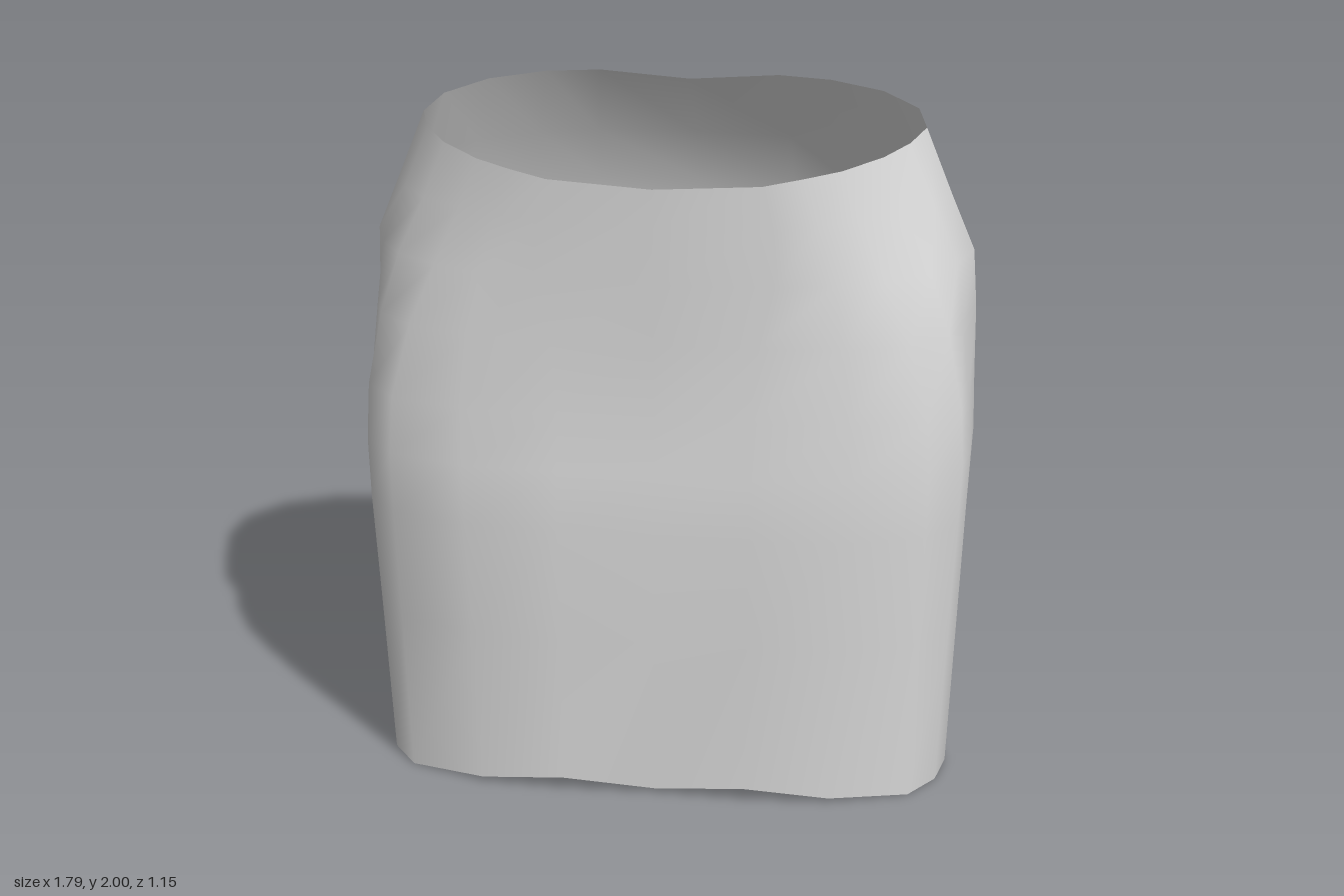
import * as THREE from 'three';

// Half cross-sections from centre back round the +x side to centre front:
// x is a share of the half width, z a share of the depth behind or before the side line.
const hemShape = [[0, -1], [0.27, -0.966], [0.5, -0.85], [0.7, -0.64], [0.865, -0.37], [0.96, -0.085],
  [1, 0.31], [0.97, 0.56], [0.88, 0.77], [0.61, 0.94], [0.316, 1], [0, 0.95]];
const hipShape = [[0, -1], [0.25, -0.985], [0.62, -0.89], [0.855, -0.69], [0.967, -0.335], [1, 0],
  [0.97, 0.4], [0.955, 0.65], [0.85, 0.86], [0.615, 0.985], [0.3, 1], [0, 0.99]];
const waistShape = [[0, -1], [0.37, -0.95], [0.59, -0.86], [0.81, -0.68], [0.96, -0.37], [1, 0],
  [0.945, 0.3], [0.85, 0.53], [0.7, 0.72], [0.56, 0.85], [0.41, 0.93], [0, 1]];

// Heights along the wavy lower hem and the sloping waist edge
const hemY = [0.095, 0.095, 0.09, 0.08, 0.055, 0.03, 0.005, 0.003, 0, 0.015, 0.045, 0.015];
const waistY = [1.975, 2, 2, 1.99, 1.975, 1.96, 1.95, 1.935, 1.915, 1.905, 1.89, 1.88];

// Rings: height, half width, back z, front z, side line z, blend (-1 hem, 0 hip, 1 waist)
const rings = [
  [hemY, 0.855, -0.49, 0.58, 0.1, -1],
  [0.5, 0.882, -0.51, 0.58, 0.09, -0.7],
  [0.85, 0.902, -0.49, 0.58, 0.09, -0.45],
  [1.03, 0.91, -0.532, 0.568, 0.08, -0.35],
  [1.2, 0.902, -0.575, 0.55, 0.08, -0.25],
  [1.42, 0.89, -0.572, 0.55, 0.08, 0.3],
  [1.6, 0.878, -0.51, 0.557, 0.11, 0.8],
  [1.77, 0.807, -0.445, 0.562, 0.12, 1],
  [waistY, 0.73, -0.29, 0.565, 0.12, 1],
];

function ringPoints([y, width, back, front, side, blend]) {
  const target = blend < 0 ? hemShape : waistShape;
  const half = hipShape.map(([hx, hz], i) => {
    const x = THREE.MathUtils.lerp(hx, target[i][0], Math.abs(blend));
    const z = THREE.MathUtils.lerp(hz, target[i][1], Math.abs(blend));
    return [x * width, Array.isArray(y) ? y[i] : y, side + z * (z < 0 ? side - back : front - side)];
  });
  const mirrored = half.slice(1, -1).reverse().map(([x, h, z]) => [-x, h, z]);
  return [...half, ...mirrored];
}

// Join the rings into an open tube with smooth shared normals
function loft(loops) {
  const n = loops[0].length;
  const index = [];
  for (let j = 0; j < loops.length - 1; j++) {
    for (let i = 0; i < n; i++) {
      const a = j * n + i, b = j * n + (i + 1) % n;
      index.push(a, a + n, b, b, a + n, b + n);
    }
  }
  const geometry = new THREE.BufferGeometry();
  geometry.setAttribute('position', new THREE.Float32BufferAttribute(loops.flat(2), 3));
  geometry.setIndex(index);
  geometry.computeVertexNormals();
  return geometry;
}

export function createModel() {
  const group = new THREE.Group();
  group.name = 'skirt';
  const fabric = new THREE.MeshStandardMaterial({ color: 0xd9d9d9, side: THREE.DoubleSide });
  fabric.name = 'light grey fabric';
  const shell = new THREE.Mesh(loft(rings.map(ringPoints)), fabric);
  shell.name = 'skirtShell';
  group.add(shell);
  return group;
}
